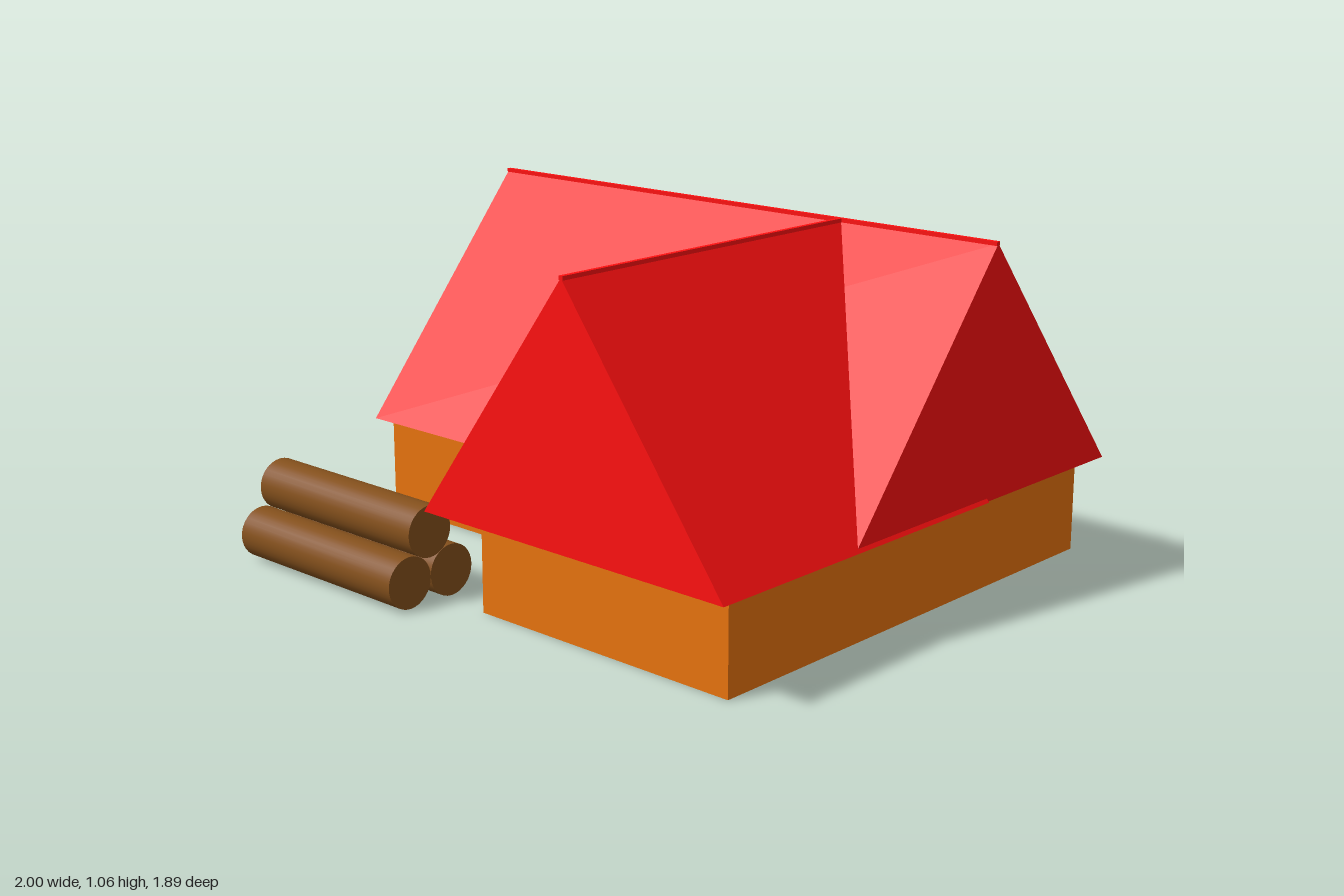
import * as THREE from 'three';

const roofMat = new THREE.MeshStandardMaterial({ color: 0xff1010 });
const wallMat = new THREE.MeshStandardMaterial({ color: 0xe8740e, side: THREE.DoubleSide });
const logMat = new THREE.MeshStandardMaterial({ color: 0x84501c });

const EAVE = 0.3, RIDGE = 1.055;

function add(parent, name, geometry, material) {
  const mesh = new THREE.Mesh(geometry, material);
  mesh.name = name;
  parent.add(mesh);
  return mesh;
}

// Closed gable roof: triangle from a to b, extruded along z
function gable(a, b, depth) {
  const shape = new THREE.Shape([
    new THREE.Vector2(a, EAVE), new THREE.Vector2(b, EAVE), new THREE.Vector2((a + b) / 2, RIDGE),
  ]);
  return new THREE.ExtrudeGeometry(shape, { depth, bevelEnabled: false });
}

// Upright wall sheets following a closed plan outline of [x, z] corners
function wallShell(name, outline) {
  const shell = new THREE.Group();
  shell.name = name;
  outline.forEach(([x0, z0], i) => {
    const [x1, z1] = outline[(i + 1) % outline.length];
    const panel = add(shell, 'wallPanel', new THREE.PlaneGeometry(Math.hypot(x1 - x0, z1 - z0), EAVE), wallMat);
    panel.position.set((x0 + x1) / 2, EAVE / 2, (z0 + z1) / 2);
    panel.rotation.y = Math.atan2(z0 - z1, x1 - x0);
  });
  return shell;
}

// L-shaped plan, shrunk inwards by t
function plan(t) {
  const left = -0.94 + t, right = 0.93 - t, back = -0.89 + t;
  const wingLeft = t, wingFront = 0.74 - t, mainFront = 0.27 - t;
  return [[left, mainFront], [wingLeft, mainFront], [wingLeft, wingFront],
    [right, wingFront], [right, back], [left, back]];
}

export function createModel() {
  const house = new THREE.Group();
  house.name = 'house';

  // Hollow walls: outer and inner shells, open underneath
  house.add(wallShell('outerWalls', plan(0)), wallShell('innerWalls', plan(0.23)));

  // Main roof, ridge along x
  const mainRoof = add(house, 'mainRoof', gable(-0.295, 0.945, 1.992), roofMat);
  mainRoof.rotation.y = Math.PI / 2;
  mainRoof.position.x = -1;

  // Wing roof, ridge along z, running back to the main ridge
  const wingRoof = add(house, 'wingRoof', gable(-0.13, 1, 1.16), roofMat);
  wingRoof.position.z = -0.32;

  // Narrow ridge caps
  const mainRidge = add(house, 'mainRidgeCap', new THREE.BoxGeometry(1.992, 0.012, 0.014), roofMat);
  mainRidge.position.set(-0.004, RIDGE, -0.325);
  const wingRidge = add(house, 'wingRidgeCap', new THREE.BoxGeometry(0.014, 0.012, 1.16), roofMat);
  wingRidge.position.set(0.435, RIDGE, 0.26);

  // Stack of three logs
  const logPile = new THREE.Group();
  logPile.name = 'logPile';
  const r = 0.079;
  const logGeometry = new THREE.CylinderGeometry(r, r, 0.695, 32).rotateZ(Math.PI / 2);
  for (const [y, z] of [[r, 0.862], [r, 0.704], [r + r * Math.sqrt(3), 0.783]]) {
    add(logPile, 'log', logGeometry, logMat).position.set(-0.523, y, z);
  }
  house.add(logPile);
  return house;
}
